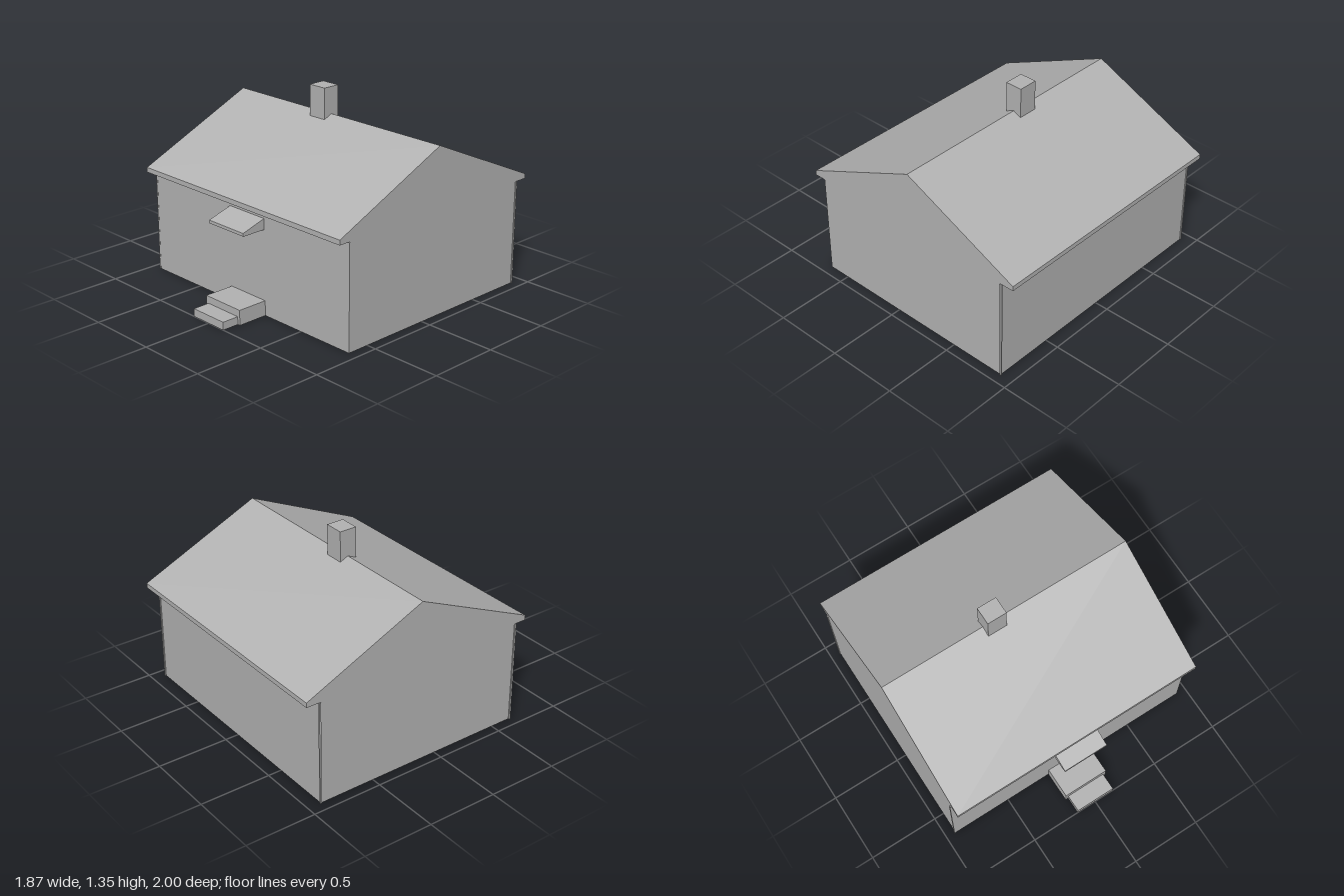
import * as THREE from 'three';

const grey = new THREE.MeshStandardMaterial({ color: 0xb2b2b2, side: THREE.DoubleSide });
grey.name = 'plain grey';

const HALF = 0.93;                       // half length of the house
const FRONT = 0.66, BACK = -0.905;       // wall planes
const RIDGE = { z: -0.13, y: 1.157 };
const EAVE_TOP = 0.766, EAVE_BOTTOM = 0.732;

function add(parent, name, geometry) {
  const mesh = new THREE.Mesh(geometry, grey);
  mesh.name = name;
  parent.add(mesh);
  return mesh;
}

// Open strip following a (z, y) profile between x0 and x1
function strip(profile, x0, x1) {
  const v = [];
  for (let i = 0; i < profile.length - 1; i++) {
    const [az, ay] = profile[i], [bz, by] = profile[i + 1];
    v.push(x0, ay, az, x1, ay, az, x1, by, bz, x0, ay, az, x1, by, bz, x0, by, bz);
  }
  const g = new THREE.BufferGeometry();
  g.setAttribute('position', new THREE.Float32BufferAttribute(v, 3));
  g.computeVertexNormals();
  return g;
}

// Flat end closing a (z, y) profile, facing +x (side 1) or -x (side -1)
function cap(profile, x, side) {
  const shape = new THREE.Shape(profile.map(([z, y]) => new THREE.Vector2(-side * z, y)));
  return new THREE.ShapeGeometry(shape).rotateY(side * Math.PI / 2).translate(x, 0, 0);
}

// Strip with both ends closed
function prism(parent, name, profile, x0, x1) {
  const part = new THREE.Group();
  part.name = name;
  add(part, name + 'Surface', strip(profile, x0, x1));
  add(part, name + 'RightEnd', cap(profile, x0, -1));
  add(part, name + 'LeftEnd', cap(profile, x1, 1));
  parent.add(part);
  return part;
}

const outline = (pts) => pts.map(([x, y]) => new THREE.Vector2(x, y));

// Upright panel with a doorway-like notch at the bottom centre
function notchedPanel(left, right, y0, top, notchHalf, notchTop) {
  return new THREE.Shape(outline([
    [left, y0], [-notchHalf, y0], [-notchHalf, notchTop], [notchHalf, notchTop],
    [notchHalf, y0], [right, y0], [right, top], [left, top],
  ]));
}

export function createModel() {
  const house = new THREE.Group();
  house.name = 'house';

  // Front wall, open behind the steps and the awning
  const wall = notchedPanel(-HALF, HALF, 0, EAVE_BOTTOM, 0.165, 0.105);
  wall.holes.push(new THREE.Path(outline([
    [-0.165, 0.596], [-0.165, 0.672], [0.165, 0.672], [0.165, 0.596],
  ])));
  add(house, 'frontWall', new THREE.ShapeGeometry(wall).translate(0, 0, FRONT));

  // Roof with boxed eaves
  const roof = [
    [FRONT, EAVE_BOTTOM], [0.743, EAVE_BOTTOM], [0.743, EAVE_TOP], [RIDGE.z, RIDGE.y],
    [-1, EAVE_TOP], [-1, EAVE_BOTTOM], [BACK, EAVE_BOTTOM],
  ];
  add(house, 'roof', strip(roof, -HALF, HALF));

  // Back wall and gable ends
  add(house, 'backWall', strip([[BACK, EAVE_BOTTOM], [BACK, 0]], -HALF, HALF));
  const gable = [[FRONT, 0], ...roof, [BACK, 0]];
  add(house, 'leftGable', cap(gable, HALF, 1));
  add(house, 'rightGable', cap(gable, -HALF, -1));

  // Narrow corner boards
  for (const [x, z] of [[0.93, -0.905], [-0.93, -0.905], [-0.932, 0.655]]) {
    const board = add(house, 'cornerBoard', new THREE.BoxGeometry(0.012, EAVE_BOTTOM, 0.012));
    board.position.set(x, EAVE_BOTTOM / 2, z);
  }

  // Chimney straddling the ridge
  const slope = (RIDGE.y - EAVE_TOP) / 0.872;
  const roofY = (z) => RIDGE.y - Math.abs(z - RIDGE.z) * slope;
  const cf = -0.065, cb = -0.19, top = 1.345;
  prism(house, 'chimney', [
    [cf, roofY(cf)], [cf, top], [cb, top], [cb, roofY(cb)], [RIDGE.z, RIDGE.y],
  ], -0.175, -0.035);

  // Door awning
  prism(house, 'awning', [
    [FRONT, 0.596], [0.836, 0.596], [0.836, 0.618], [FRONT, 0.672],
  ], -0.165, 0.165);

  // Hollow entrance steps
  const steps = new THREE.Group();
  steps.name = 'steps';
  house.add(steps);
  const upper = [[0.878, 0], [0.878, 0.105], [FRONT, 0.105], [FRONT, 0]];
  add(steps, 'upperTread', strip(upper.slice(1, 3), -0.165, 0.165));
  add(steps, 'upperRiser', new THREE.ShapeGeometry(
    notchedPanel(-0.165, 0.165, 0, 0.105, 0.145, 0.055)).translate(0, 0, 0.878));
  add(steps, 'upperLeftSide', cap(upper, 0.165, 1));
  add(steps, 'upperRightSide', cap(upper, -0.165, -1));
  const lower = [[1, 0], [1, 0.055], [0.878, 0.055], [0.878, 0]];
  add(steps, 'lowerStep', strip(lower.slice(0, 3), -0.145, 0.145));
  add(steps, 'lowerLeftSide', cap(lower, 0.145, 1));
  add(steps, 'lowerRightSide', cap(lower, -0.145, -1));

  return house;
}
